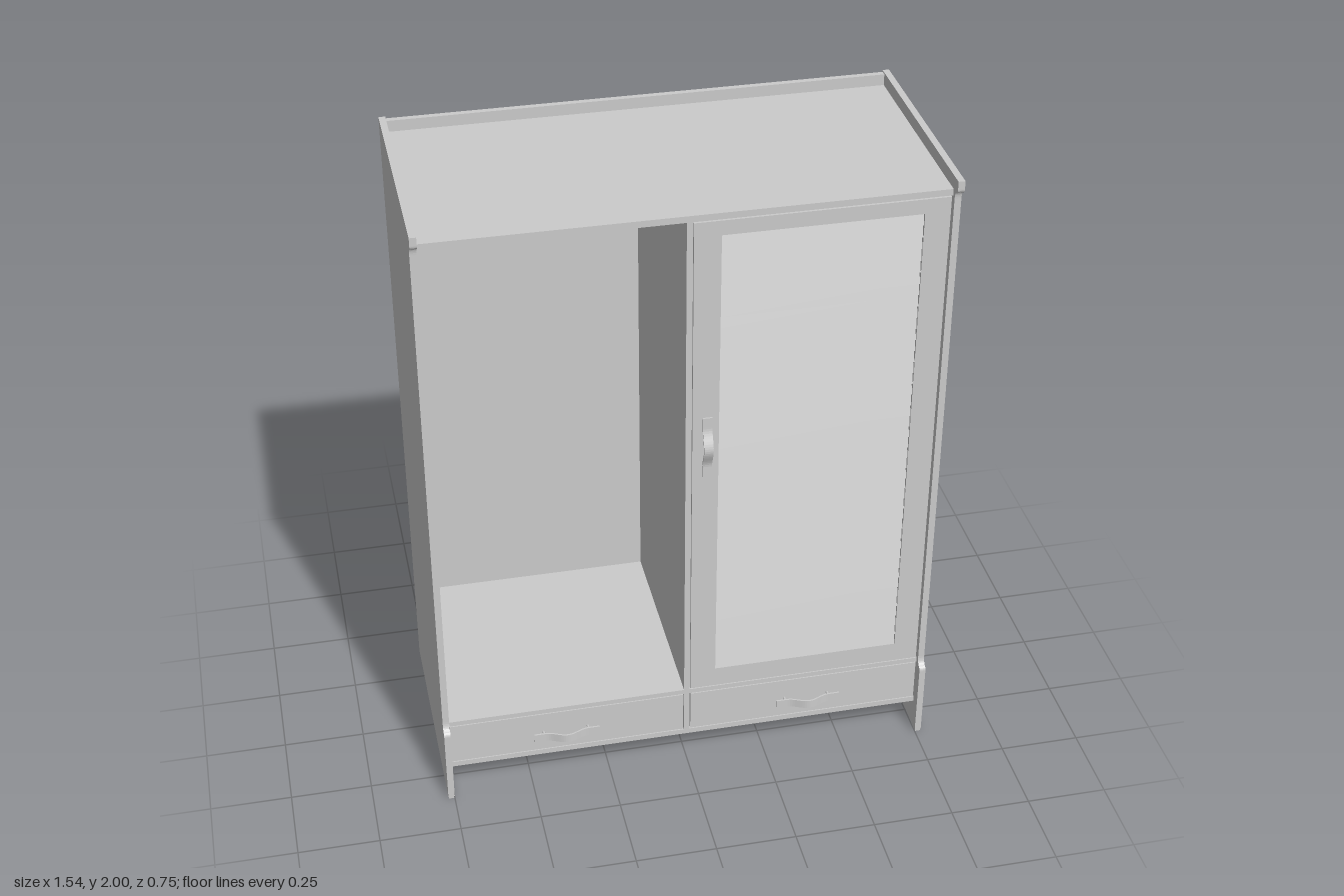
import * as THREE from 'three';

const material = new THREE.MeshStandardMaterial({ color: 0xcccccc });

function add(parent, name, geometry) {
  const mesh = new THREE.Mesh(geometry, material);
  mesh.name = name;
  parent.add(mesh);
  return mesh;
}

// Box given by its minimum and maximum on each axis
function panel(parent, name, x0, x1, y0, y1, z0, z1) {
  const mesh = add(parent, name, new THREE.BoxGeometry(x1 - x0, y1 - y0, z1 - z0));
  mesh.position.set((x0 + x1) / 2, (y0 + y1) / 2, (z0 + z1) / 2);
  return mesh;
}

// Side panel outline in (z, y), stepped forward at foot and top
function sideGeometry(thickness) {
  const s = new THREE.Shape();
  s.moveTo(-0.375, 0.008);
  s.lineTo(0.36, 0.008);
  s.lineTo(0.36, 0.25);
  s.quadraticCurveTo(0.36, 0.262, 0.35, 0.266);
  s.quadraticCurveTo(0.338, 0.272, 0.338, 0.295);
  s.lineTo(0.338, 1.935);
  s.quadraticCurveTo(0.338, 1.957, 0.348, 1.96);
  s.quadraticCurveTo(0.36, 1.963, 0.36, 1.975);
  s.lineTo(0.36, 2);
  s.lineTo(-0.375, 2);
  const geo = new THREE.ExtrudeGeometry(s, { depth: thickness, bevelEnabled: false, curveSegments: 6 });
  return geo.rotateY(-Math.PI / 2).scale(-1, 1, 1);
}

// Mirroring flips the winding, so restore it by swapping two corners of every triangle
function fixWinding(geo) {
  for (const attr of Object.values(geo.attributes)) {
    const n = attr.itemSize;
    for (let i = 0; i < attr.count; i += 3) {
      for (let k = 0; k < n; k++) {
        const a = attr.array[(i + 1) * n + k];
        attr.array[(i + 1) * n + k] = attr.array[(i + 2) * n + k];
        attr.array[(i + 2) * n + k] = a;
      }
    }
  }
  geo.computeVertexNormals();
  return geo;
}

// Bowed strap handle along x, standing on two posts above z = 0
function makeHandle(name) {
  const handle = new THREE.Group();
  handle.name = name;
  const L = 0.103, W = 0.028, T = 0.005, steps = 28;
  const bow = x => 0.023 + (Math.abs(x) < 0.068 ? 0.01 * (1 + Math.cos(Math.PI * x / 0.068)) : 0);
  const s = new THREE.Shape();
  for (let i = 0; i <= steps; i++) {
    const x = -L + (2 * L * i) / steps;
    if (i) s.lineTo(x, bow(x)); else s.moveTo(x, bow(x));
  }
  for (let i = steps; i >= 0; i--) {
    const x = -L + (2 * L * i) / steps;
    s.lineTo(x, bow(x) + T);
  }
  const strap = new THREE.ExtrudeGeometry(s, { depth: W, bevelEnabled: false });
  strap.translate(0, 0, -W / 2).rotateX(Math.PI / 2);
  add(handle, 'handleStrap', strap);
  for (const x of [-0.07, 0.07]) {
    const post = add(handle, 'handlePost', new THREE.CylinderGeometry(0.004, 0.004, 0.026, 12));
    post.rotation.x = Math.PI / 2;
    post.position.set(x, 0, 0.012);
  }
  return handle;
}

export function createModel() {
  const wardrobe = new THREE.Group();
  wardrobe.name = 'wardrobe';
  const front = 0.325;

  // Sides and their glides
  for (const side of [-1, 1]) {
    const geo = fixWinding(sideGeometry(0.02));
    const mesh = add(wardrobe, side > 0 ? 'leftSide' : 'rightSide', geo);
    mesh.position.x = side > 0 ? 0.75 : -0.77;
    for (const z of [-0.353, 0.338]) {
      panel(wardrobe, 'glide', side * 0.76 - 0.008, side * 0.76 + 0.008, 0, 0.008, z - 0.021, z + 0.021);
    }
  }

  // Carcass
  panel(wardrobe, 'backPanel', -0.75, 0.75, 0.012, 1.995, -0.373, -0.355);
  panel(wardrobe, 'topPanel', -0.75, 0.75, 1.94, 1.96, -0.355, front);
  panel(wardrobe, 'shelf', -0.75, 0.75, 0.264, 0.28, -0.355, front);
  panel(wardrobe, 'bottomPanel', -0.75, 0.75, 0.1, 0.118, -0.355, front);
  panel(wardrobe, 'divider', -0.009, 0.009, 0.118, 1.94, -0.355, front);

  // Drawers
  for (const side of [-1, 1]) {
    const drawer = new THREE.Group();
    drawer.name = side > 0 ? 'leftDrawer' : 'rightDrawer';
    const c = side * 0.3795;
    panel(drawer, 'drawerFront', c - 0.368, c + 0.368, 0.121, 0.261, front - 0.018, front);
    const handle = makeHandle('drawerHandle');
    handle.position.set(side * 0.387, 0.19, front);
    drawer.add(handle);
    wardrobe.add(drawer);
  }

  // Louvred door: frame with an opening
  const door = new THREE.Group();
  door.name = 'louvreDoor';
  const [x0, x1, y0, y1] = [0.09, 0.672, 0.35, 1.89];
  const zb = front - 0.02;
  panel(door, 'doorStile', 0.011, x0, 0.283, 1.936, zb, front);
  panel(door, 'doorStile', x1, 0.747, 0.283, 1.936, zb, front);
  panel(door, 'doorRail', x0, x1, 0.283, y0, zb, front);
  panel(door, 'doorRail', x0, x1, y1, 1.936, zb, front);

  // Overlapping slats, lower edge tilted outward
  const count = 41, pitch = (y1 - y0) / count;
  const slatGeo = new THREE.BoxGeometry(x1 - x0, pitch * 1.12, 0.005);
  for (let i = 0; i < count; i++) {
    const slat = add(door, 'slat', slatGeo);
    slat.position.set((x0 + x1) / 2, y0 + (i + 0.5) * pitch, front - 0.011);
    slat.rotation.x = -0.3;
  }
  const doorHandle = makeHandle('doorHandle');
  doorHandle.rotation.z = Math.PI / 2;
  doorHandle.position.set(0.049, 1.21, front + 0.004);
  door.add(doorHandle);
  wardrobe.add(door);

  return wardrobe;
}
